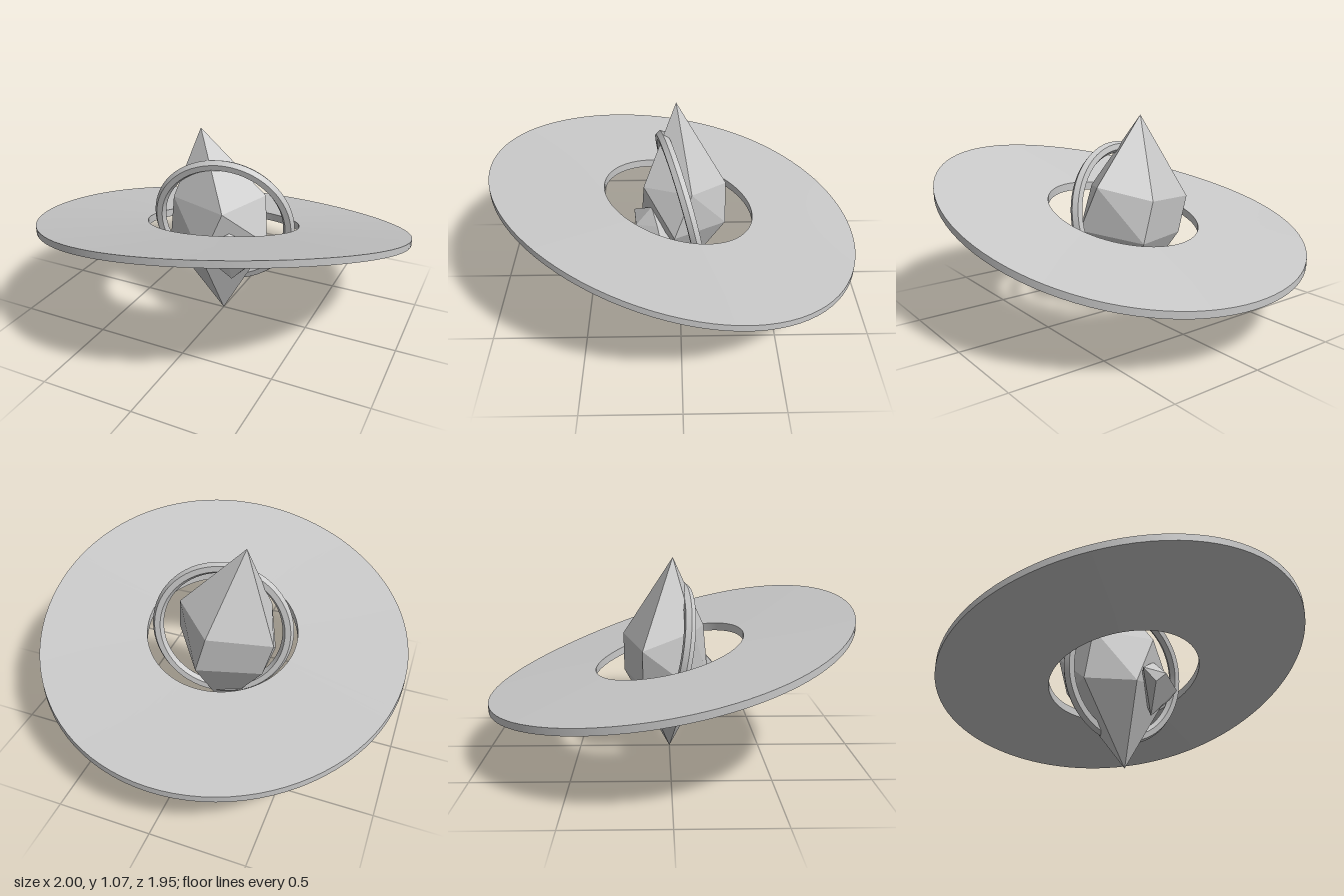
import * as THREE from 'three';
import { toCreasedNormals } from 'three/addons/utils/BufferGeometryUtils.js';
import { ConvexGeometry } from 'three/addons/geometries/ConvexGeometry.js';

const stone = new THREE.MeshStandardMaterial({ color: 0xc8c8c8 });
stone.name = 'pale grey stone';

function part(name, geometry) {
  const mesh = new THREE.Mesh(geometry, stone);
  mesh.name = name;
  return mesh;
}

// Faceted gem: the convex hull of a few corners
function crystal(name, corners) {
  return part(name, new ConvexGeometry(corners.map((c) => new THREE.Vector3(...c))));
}

// Wide annulus, tilted forward and slightly twisted
function discGeometry() {
  const profile = [[0.413, 0.022], [0.413, -0.022], [1, -0.018], [1, 0.018], [0.413, 0.022]]
    .map(([r, y]) => new THREE.Vector2(r, y));
  const geometry = new THREE.LatheGeometry(profile, 96);
  const p = geometry.attributes.position;
  for (let i = 0; i < p.count; i++) {
    const x = p.getX(i);
    const z = p.getZ(i) * 0.975;
    const sag = 0.03 * (1 - Math.hypot(x, z));
    const y = p.getY(i) + 0.547 + 0.07 * x + 0.248 * z + 0.06 * x * z - sag;
    p.setXYZ(i, x, y, z);
  }
  return toCreasedNormals(geometry, 0.6);
}

export function createModel() {
  const model = new THREE.Group();
  model.name = 'ringedCrystal';

  // Tall central gem with pointed ends
  model.add(crystal('mainCrystal', [
    [-0.125, 1.07, 0.015], [0, 0, 0],
    [0, 0.65, -0.25], [-0.335, 0.62, -0.14], [0.22, 0.72, -0.06],
    [-0.05, 0.875, 0.09], [-0.24, 0.7, 0.12], [0.08, 0.68, 0.19],
    [-0.03, 0.41, 0.21], [-0.28, 0.42, 0.1], [0.27, 0.48, 0.03],
    [0.06, 0.43, -0.25], [-0.28, 0.42, -0.14],
  ]));

  // Small gem growing from the front left
  model.add(crystal('smallCrystal', [
    [0.1, 0.565, 0.15], [0.2, 0.51, 0.12], [0.27, 0.45, 0.1], [0.25, 0.41, 0.05],
    [0.1, 0.27, 0.11], [0.065, 0.41, 0.24], [-0.015, 0.47, 0.25],
    [0.13, 0.47, 0.235], [0.08, 0.45, 0.03],
  ]));

  // Upright slim ring with a six-sided section
  const ring = part('innerRing', toCreasedNormals(new THREE.TorusGeometry(0.36, 0.031, 6, 64), 0.6));
  ring.position.y = 0.545;
  ring.quaternion.setFromUnitVectors(
    new THREE.Vector3(0, 0, 1), new THREE.Vector3(0.21, -0.2, 1).normalize());
  model.add(ring);

  model.add(part('outerDisc', discGeometry()));
  return model;
}
